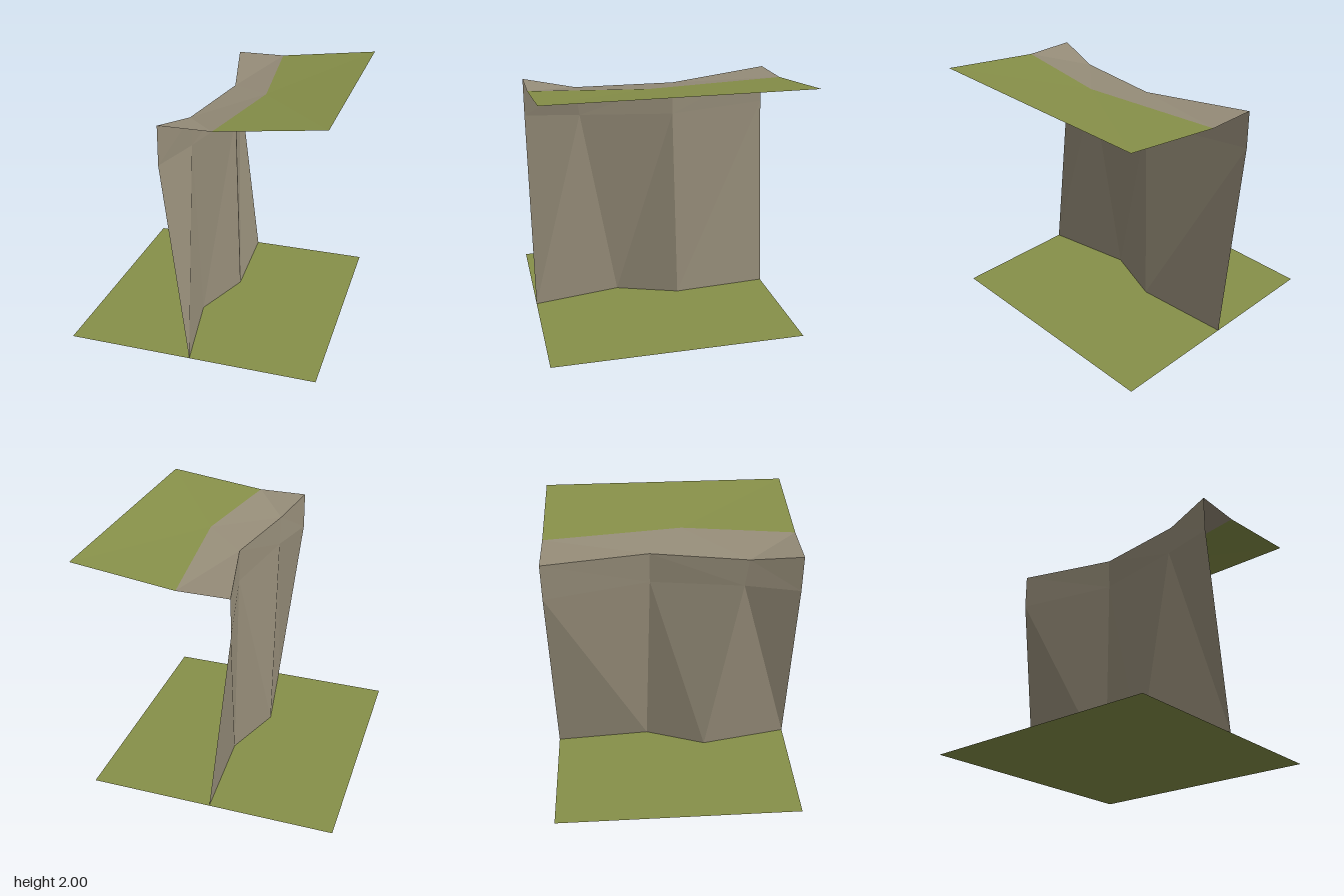
import * as THREE from 'three';

const grass = new THREE.MeshStandardMaterial({ color: 0x879049, side: THREE.DoubleSide, flatShading: true });
const rock = new THREE.MeshStandardMaterial({ color: 0x968d79, side: THREE.DoubleSide, flatShading: true });

// Cross-section lines of the cliff, each running from back (-z) to front (+z)
const foot = [[0, 0, -1], [0.05, 0, -0.22], [-0.13, 0, 0.28], [0, 0, 1]];
const shoulder = [[-0.2, 1.6, -1], [0.015, 1.6, -0.17], [-0.1, 1.605, 0.57], [-0.2, 1.6, 1]];
const lip = [[-0.2, 1.9, -1], [0.01, 1.857, -0.17], [-0.1, 1.835, 0.6], [-0.2, 1.9, 1]];
const turf = [[0.2, 1.9, -1], [0.34, 1.9, 0.1], [0.2, 1.9, 1]];
const rim = [[1, 2, -1], [1, 2, 1]];

// Joins two lines with triangles; steps says which line advances: 'a', 'b' or 'q' for both
function ribbon(name, a, b, steps, material) {
  const pos = [];
  let i = 0, j = 0;
  const stepA = () => { pos.push(...a[i], ...a[i + 1], ...b[j]); i++; };
  const stepB = () => { pos.push(...a[i], ...b[j + 1], ...b[j]); j++; };
  for (const s of steps) {
    if (s !== 'b') stepA();
    if (s !== 'a') stepB();
  }
  const geo = new THREE.BufferGeometry();
  geo.setAttribute('position', new THREE.Float32BufferAttribute(pos, 3));
  geo.computeVertexNormals();
  const mesh = new THREE.Mesh(geo, material);
  mesh.name = name;
  return mesh;
}

export function createModel() {
  const group = new THREE.Group();
  group.name = 'cliffTile';

  // Flat lower ground
  const ground = new THREE.Mesh(new THREE.PlaneGeometry(2, 2).rotateX(-Math.PI / 2), grass);
  ground.name = 'lowerGround';

  group.add(
    ground,
    // Leaning rock face and its upright upper band
    ribbon('cliffFace', foot, shoulder, 'qqq', rock),
    ribbon('cliffBand', shoulder, lip, 'qqq', rock),
    // Bare rock along the top edge, then the sloping grass
    ribbon('rockyLip', lip, turf, 'ababa', rock),
    ribbon('upperGround', turf, rim, 'aba', grass),
  );
  return group;
}
